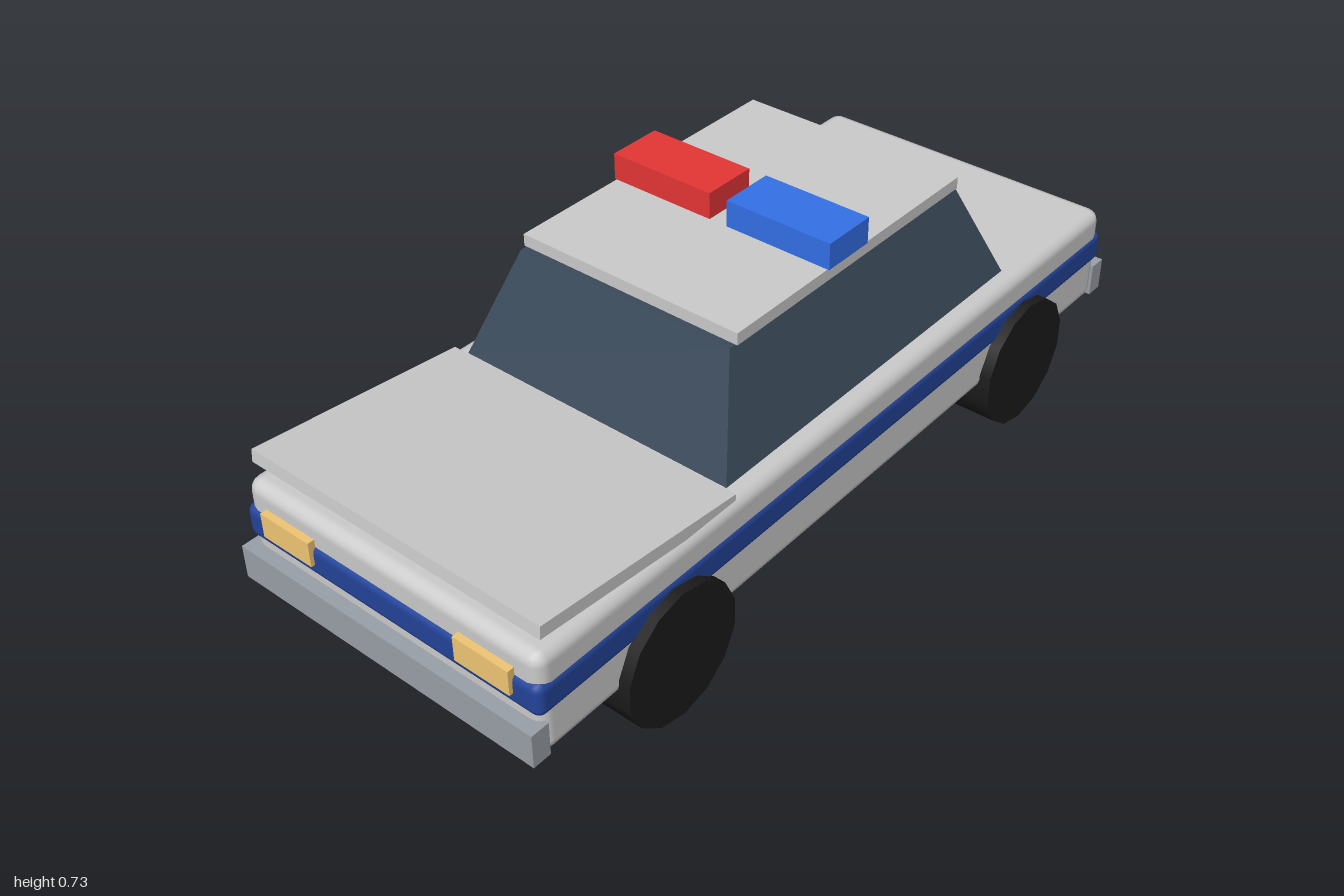
import * as THREE from 'three';
import { RoundedBoxGeometry } from 'three/addons/geometries/RoundedBoxGeometry.js';

const paint = (color, extra = {}) => new THREE.MeshStandardMaterial({ color, ...extra });

export function createModel() {
  const car = new THREE.Group();
  car.name = 'patrolCar';

  const grey = paint(0xcccccc);
  const navy = paint(0x24449a);
  const glass = paint(0x3a4a5a, { flatShading: true });
  const steel = paint(0x9aa0a8);
  const rubber = paint(0x1c1c1c);
  const amber = paint(0xf0c674);
  const red = paint(0xe53535);
  const blue = paint(0x3470e8);

  const add = (name, geometry, material, x, y, z) => {
    const mesh = new THREE.Mesh(geometry, material);
    mesh.name = name;
    mesh.position.set(x, y, z);
    car.add(mesh);
    return mesh;
  };
  const box = (name, w, h, d, material, x, y, z) =>
    add(name, new THREE.BoxGeometry(w, h, d), material, x, y, z);

  // Lower body with a wrap-around stripe
  add('body', new RoundedBoxGeometry(0.786, 0.246, 1.94, 2, 0.03), grey, 0, 0.275, 0);
  add('stripe', new RoundedBoxGeometry(0.794, 0.08, 1.954, 2, 0.02), navy, 0, 0.295, 0);

  // Glass cabin, tapered towards the roof
  const cabin = new THREE.BoxGeometry(0.706, 0.242, 0.99);
  const p = cabin.attributes.position;
  for (let i = 0; i < p.count; i++) {
    if (p.getY(i) > 0) {
      p.setX(i, p.getX(i) * 0.782);
      p.setZ(i, p.getZ(i) * 0.785 + 0.003);
    }
  }
  cabin.computeVertexNormals();
  add('cabin', cabin, glass, 0, 0.516, -0.09);
  box('roof', 0.564, 0.028, 0.76, grey, 0, 0.651, -0.095);

  // Bonnet, sprung open slightly at the nose
  box('bonnet', 0.766, 0.03, 0.537, grey, 0, 0.417, 0.681).rotation.x = -0.1;

  // Roof beacons
  box('rightBeacon', 0.264, 0.062, 0.132, red, -0.155, 0.696, -0.068);
  box('leftBeacon', 0.264, 0.062, 0.132, blue, 0.154, 0.696, -0.068);

  // Bumpers
  for (const end of [1, -1]) {
    box(end > 0 ? 'frontBumper' : 'rearBumper', 0.792, 0.08, 0.044, steel, 0, 0.2, end * 0.978);
  }

  // Wheels and lamps on both sides
  const wheel = new THREE.CylinderGeometry(0.158, 0.158, 0.105, 14, 1, false, Math.PI / 2);
  wheel.rotateZ(Math.PI / 2);
  for (const side of [1, -1]) {
    const label = side > 0 ? 'Left' : 'Right';
    add('front' + label + 'Wheel', wheel, rubber, side * 0.368, 0.158, 0.615);
    add('rear' + label + 'Wheel', wheel, rubber, side * 0.368, 0.158, -0.615);
    box('headlight' + label, 0.139, 0.059, 0.03, amber, side * 0.264, 0.319, 0.971);
    box('taillight' + label, 0.13, 0.059, 0.03, red, side * 0.29, 0.319, -0.969);
  }

  return car;
}
